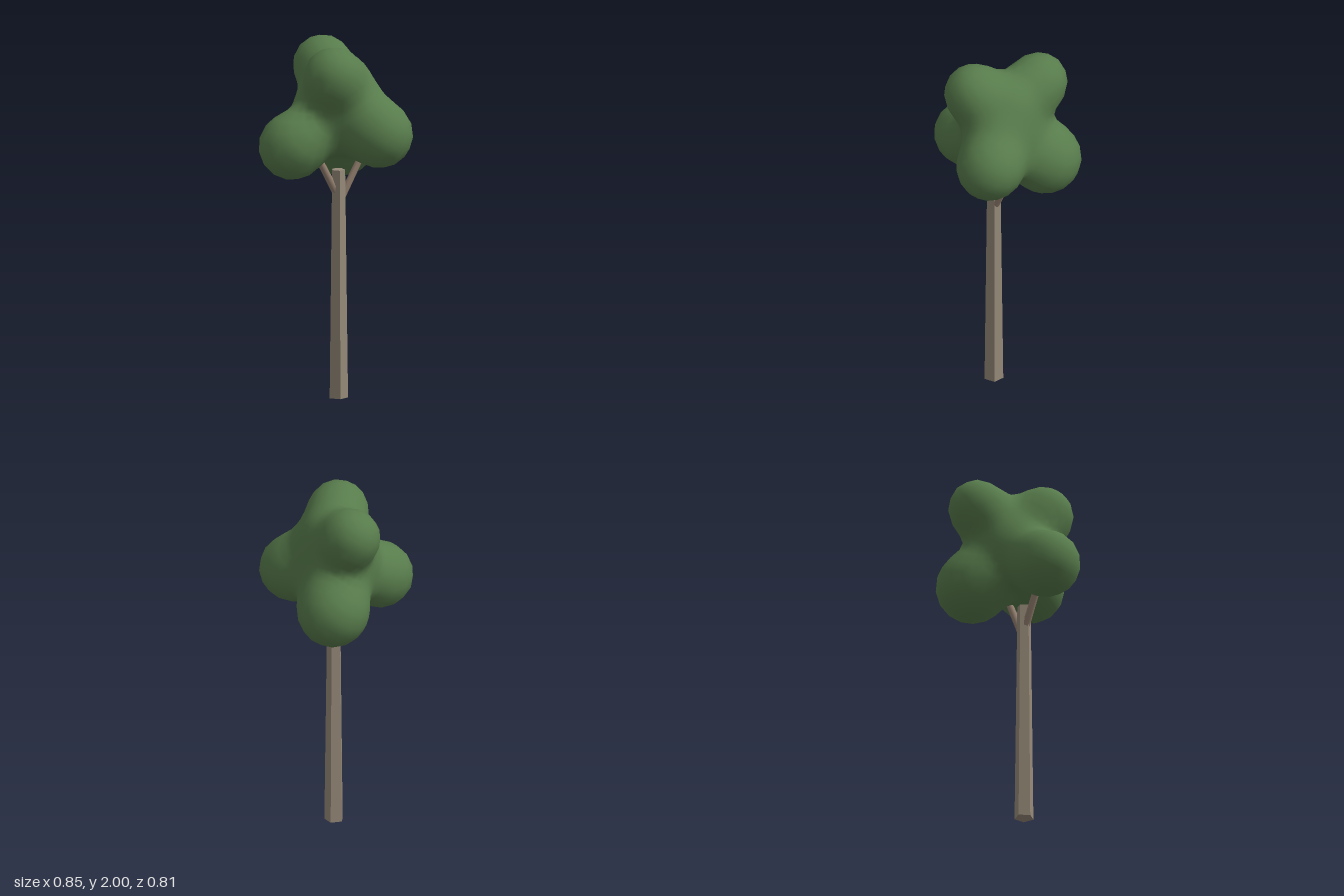
import * as THREE from 'three';
import { mergeVertices } from 'three/addons/utils/BufferGeometryUtils.js';

const barkMat = new THREE.MeshStandardMaterial({ name: 'bark', color: 0x968a79, flatShading: true });
const branchMat = new THREE.MeshStandardMaterial({ name: 'branchBark', color: 0x937f6f });
const leafMat = new THREE.MeshStandardMaterial({ name: 'leaves', color: 0x587c4c });

// Crown core followed by its lobes: x, y, z, radius
const core = new THREE.Vector3(0.04, 1.6, -0.065);
const lobes = [
  [core.x, core.y, core.z, 0.212],
  [-0.241, 1.44, -0.131, 0.184], // low right
  [0.23, 1.393, -0.18, 0.198], // low left
  [0.1, 1.5, 0.22, 0.182], // low front
  [-0.1, 1.838, 0.053, 0.159], // top front
  [0.15, 1.833, -0.247, 0.157], // top back
  [0.085, 1.78, -0.035, 0.115], // filling between the two tops
  [0.07, 1.67, 0.09, 0.09], // filling above the low front
];

// Smoothly blended distance to all lobes
function crownDistance(p) {
  const blend = 0.053;
  let sum = 0;
  for (const [x, y, z, r] of lobes) {
    sum += Math.exp(-(Math.hypot(p.x - x, p.y - y, p.z - z) - r) / blend);
  }
  return -blend * Math.log(sum);
}

// Shrink-wrap a faceted ball onto the blended lobes
function crownGeometry() {
  let geo = new THREE.IcosahedronGeometry(1, 7);
  geo.deleteAttribute('normal');
  geo.deleteAttribute('uv');
  geo = mergeVertices(geo, 1e-4);
  const pos = geo.attributes.position;
  const dir = new THREE.Vector3();
  const p = new THREE.Vector3();
  for (let i = 0; i < pos.count; i++) {
    dir.fromBufferAttribute(pos, i).normalize();
    let t = 0.75;
    for (let step = 0; step < 80; step++) {
      p.copy(core).addScaledVector(dir, t);
      t -= crownDistance(p) * 0.8;
    }
    p.copy(core).addScaledVector(dir, t);
    pos.setXYZ(i, p.x, p.y, p.z);
  }
  geo.computeVertexNormals();
  return geo;
}

// Tapered limb between two points
function limb(name, from, to, r0, r1) {
  const a = new THREE.Vector3(...from);
  const axis = new THREE.Vector3(...to).sub(a);
  const mesh = new THREE.Mesh(new THREE.CylinderGeometry(r1, r0, axis.length(), 6), branchMat);
  mesh.name = name;
  mesh.position.copy(a).addScaledVector(axis, 0.5);
  mesh.quaternion.setFromUnitVectors(new THREE.Vector3(0, 1, 0), axis.normalize());
  return mesh;
}

export function createModel() {
  const tree = new THREE.Group();
  tree.name = 'tree';

  // Five-sided trunk with a flat side to the front
  const trunk = new THREE.Mesh(
    new THREE.CylinderGeometry(0.039, 0.055, 1.29, 5, 1, false, Math.PI / 5), barkMat);
  trunk.name = 'trunk';
  trunk.position.y = 0.645;
  tree.add(trunk);

  // Branches reaching into the crown
  tree.add(limb('rightBranch', [-0.012, 1.16, -0.005], [-0.125, 1.38, -0.045], 0.022, 0.019));
  tree.add(limb('leftBranch', [0.02, 1.13, 0.008], [0.135, 1.36, 0.058], 0.022, 0.019));

  const crown = new THREE.Mesh(crownGeometry(), leafMat);
  crown.name = 'crown';
  tree.add(crown);
  return tree;
}
